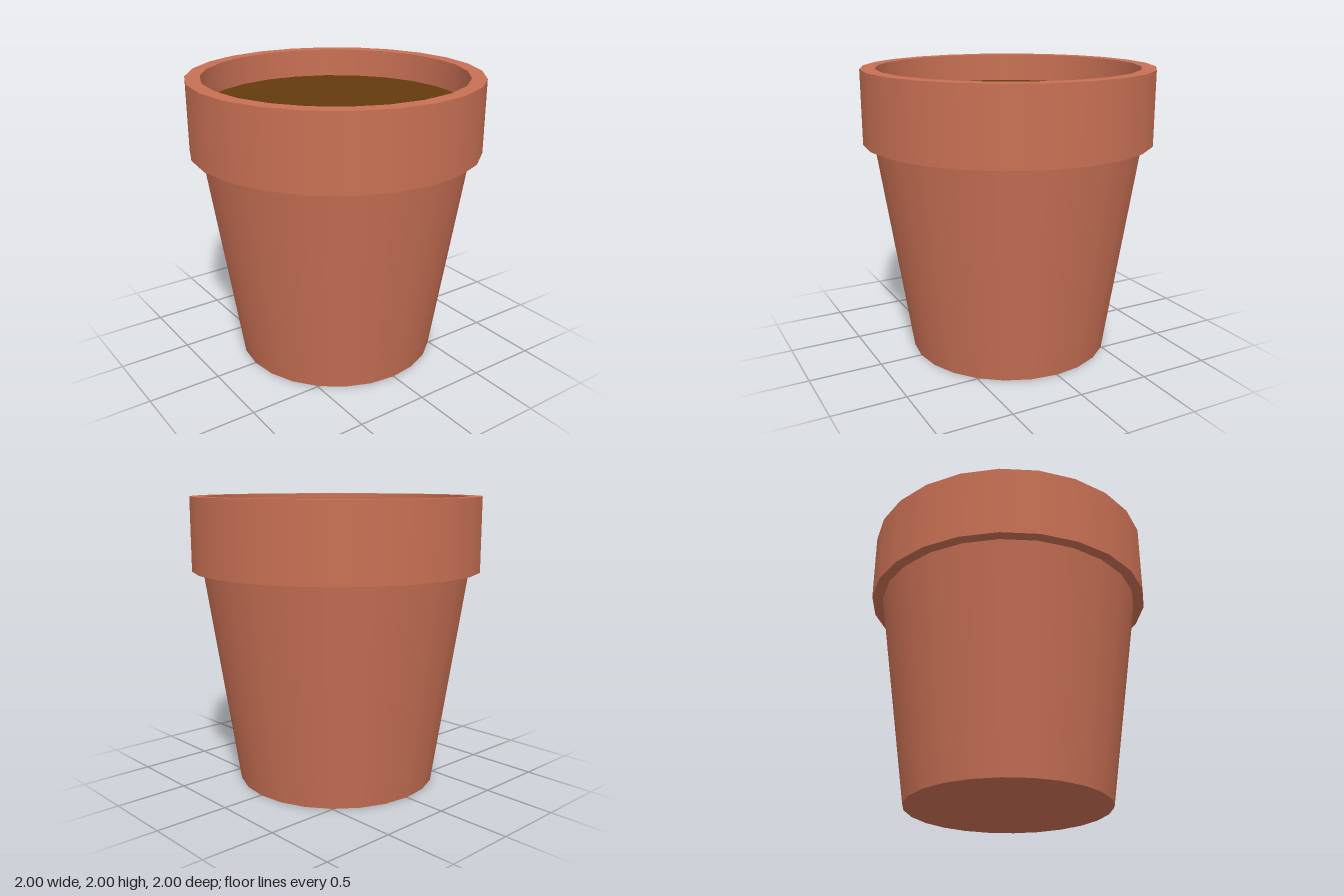
import * as THREE from 'three';

const SIDES = 24;

export function createModel() {
  const group = new THREE.Group();
  const clay = new THREE.MeshStandardMaterial({ color: 0xc87054 });
  const earth = new THREE.MeshStandardMaterial({ color: 0x643a0e });

  // One straight band of the profile; separate bands keep the edges between them sharp
  const addBand = (name, r0, y0, r1, y1) => {
    const profile = [new THREE.Vector2(r0, y0), new THREE.Vector2(r1, y1)];
    const mesh = new THREE.Mesh(new THREE.LatheGeometry(profile, SIDES), clay);
    mesh.name = name;
    group.add(mesh);
  };

  // Flat round disc facing up or down
  const addDisc = (name, radius, y, facing, material) => {
    const geometry = new THREE.CircleGeometry(radius, SIDES).rotateX(-facing * Math.PI / 2);
    const mesh = new THREE.Mesh(geometry, material);
    mesh.name = name;
    mesh.position.y = y;
    group.add(mesh);
  };

  // Tapered pot
  addDisc('potBase', 0.7, 0, -1, clay);
  addBand('potWall', 0.7, 0, 0.925, 1.5);

  // Thick rim
  addBand('rimUnderside', 0.925, 1.5, 1, 1.5);
  addBand('rimOuterWall', 1, 1.5, 1, 2);
  addBand('rimTop', 1, 2, 0.9, 2);
  addBand('rimInnerWall', 0.9, 2, 0.9, 1.8);

  // Soil filling
  addDisc('soil', 0.9, 1.8, 1, earth);

  return group;
}
